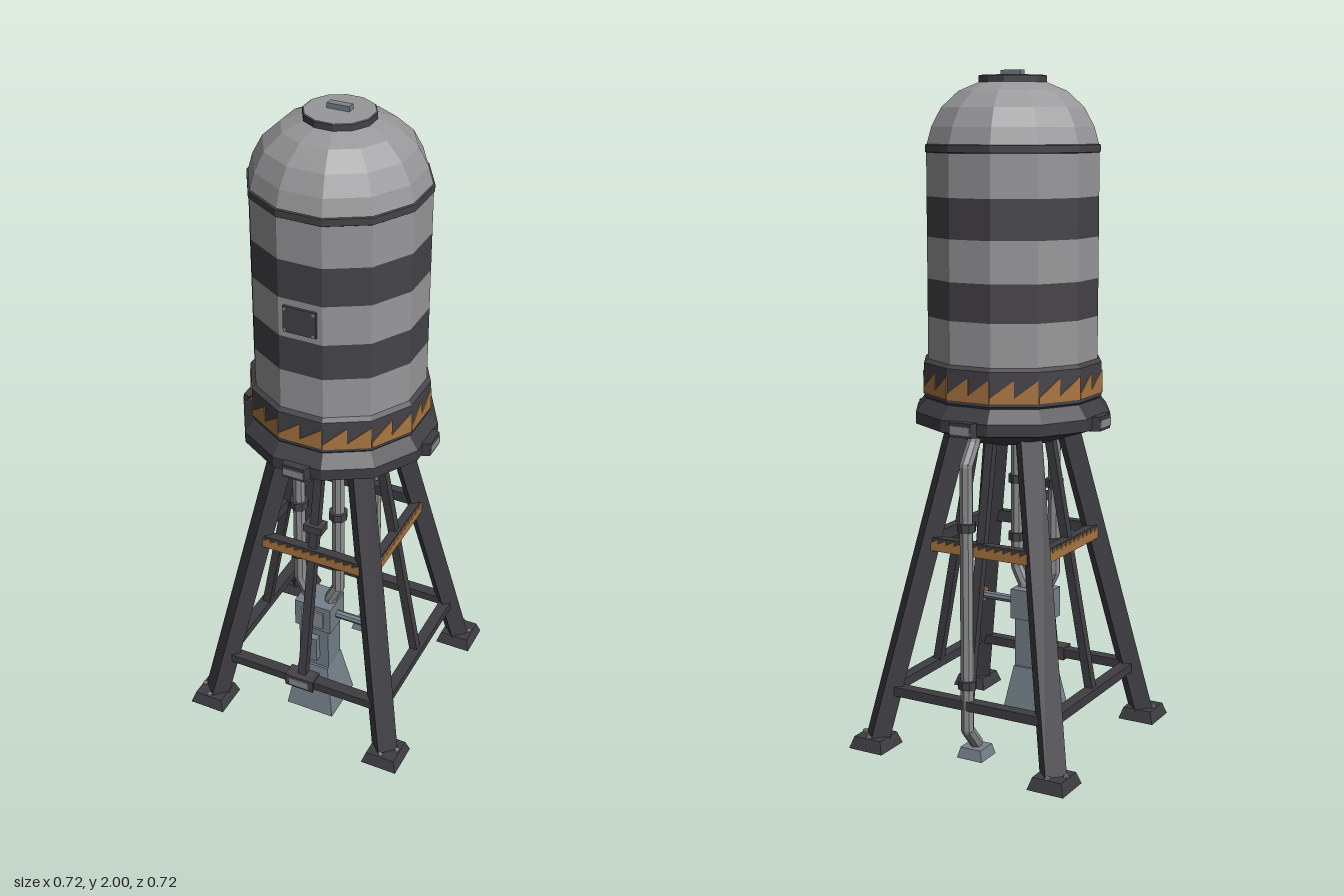
import * as THREE from 'three';

const colour = (name, hex) => {
  const m = new THREE.MeshStandardMaterial({ color: hex });
  m.name = name;
  return m;
};

export function createModel() {
  const root = new THREE.Group();
  root.name = 'waterTower';
  const tankGrey = colour('tank grey', 0x98989a);
  const bandDark = colour('band dark', 0x454348);
  const frameDark = colour('frame dark', 0x3e3d42);
  const steel = colour('blue steel', 0x75818a);
  const pipeGrey = colour('pipe grey', 0x8c8d8f);
  const rust = colour('rust orange', 0xaa7641);

  const add = (name, geo, mat, x = 0, y = 0, z = 0, parent = root) => {
    const flat = geo.index ? geo.toNonIndexed() : geo;
    flat.computeVertexNormals();
    const mesh = new THREE.Mesh(flat, mat);
    mesh.name = name;
    mesh.position.set(x, y, z);
    parent.add(mesh);
    return mesh;
  };
  const box = (name, w, h, d, mat, x, y, z, parent) =>
    add(name, new THREE.BoxGeometry(w, h, d), mat, x, y, z, parent);

  // Twelve-sided shell with flats facing the axes; radii are measured to the flats
  const shell = (name, profile, mat) => add(name, new THREE.LatheGeometry(
    profile.map(([r, y]) => new THREE.Vector2(r / Math.cos(Math.PI / 12), y)), 12, Math.PI / 12), mat);

  // Square frustum, half widths at bottom and top
  const frustum = (name, bottom, top, h, mat, x, y, z) => {
    const g = new THREE.CylinderGeometry(top * Math.SQRT2, bottom * Math.SQRT2, h, 4);
    return add(name, g.rotateY(Math.PI / 4), mat, x, y + h / 2, z);
  };

  // Places a y-aligned mesh between two points
  const span = (mesh, a, b) => {
    const y = b.clone().sub(a).normalize();
    const x = new THREE.Vector3(0, 1, 0).cross(y);
    if (x.length() < 1e-4) x.set(1, 0, 0);
    x.normalize();
    const z = x.clone().cross(y);
    mesh.quaternion.setFromRotationMatrix(new THREE.Matrix4().makeBasis(x, y, z));
    mesh.position.copy(a).add(b).multiplyScalar(0.5);
    return mesh;
  };
  const V = (x, y, z) => new THREE.Vector3(x, y, z);
  const beam = (name, a, b, w, d, mat) =>
    span(add(name, new THREE.BoxGeometry(w, a.distanceTo(b), d), mat), a, b);
  const rod = (name, a, b, r, mat) =>
    span(add(name, new THREE.CylinderGeometry(r, r, a.distanceTo(b), 8), mat), a, b);
  const pipe = (name, points, r, mat) => {
    for (let i = 1; i < points.length; i++) {
      rod(name, points[i - 1], points[i], r, mat);
      if (i < points.length - 1) add(name + 'Joint', new THREE.SphereGeometry(r, 8, 6), mat, ...points[i].toArray());
    }
  };
  const collar = (name, r, x, y, z) =>
    add(name, new THREE.CylinderGeometry(r, r, 0.025, 8), bandDark, x, y, z);

  // Saw-toothed strip facing +z
  const sawStrip = (width, teeth, low, valley, peak) => {
    const s = new THREE.Shape();
    s.moveTo(-width / 2, low);
    s.lineTo(width / 2, low);
    for (let i = teeth; i > 0; i--) {
      s.lineTo(-width / 2 + width * i / teeth, peak);
      s.lineTo(-width / 2 + width * (i - 1) / teeth, valley);
    }
    return new THREE.ExtrudeGeometry(s, { depth: 0.004, bevelEnabled: false });
  };

  // Tank wall, split into plain and dark bands
  [[1.15, 1.3], [1.3, 1.41], [1.41, 1.53], [1.53, 1.645], [1.645, 1.79]].forEach(([a, b], i) =>
    shell(i % 2 ? 'tankStripe' : 'tankWall', [[0.247, a], [0.247, b]], i % 2 ? bandDark : tankGrey));
  shell('shoulderBand', [[0.247, 1.768], [0.25, 1.77], [0.25, 1.79], [0.245, 1.792]], bandDark);
  shell('dome', [[0.247, 1.785], [0.232, 1.84], [0.204, 1.894], [0.155, 1.94], [0.09, 1.968]], tankGrey);

  // Cap with handle
  shell('capRim', [[0.092, 1.957], [0.098, 1.962], [0.098, 1.982], [0.093, 1.985]], bandDark);
  shell('capLid', [[0.094, 1.985], [0.0001, 1.986]], tankGrey);
  box('capHandle', 0.066, 0.016, 0.024, steel, 0, 1.992, 0);

  // Toothed skirt and conical tray beneath the tank
  shell('skirt', [[0.25, 1.055], [0.259, 1.065], [0.259, 1.165], [0.247, 1.175]], bandDark);
  for (let i = 0; i < 12; i++) {
    const a = i * Math.PI / 6;
    add('skirtTeeth', sawStrip(0.138, 2, 1.075, 1.092, 1.143), rust,
      0.258 * Math.sin(a), 0, 0.258 * Math.cos(a)).rotation.y = a;
  }
  shell('tray', [[0.0001, 0.93], [0.13, 0.93], [0.284, 0.985], [0.284, 1.02], [0.252, 1.06], [0.2, 1.065]], frameDark);

  // Front plate with corner bolts
  box('frontPlate', 0.1, 0.08, 0.008, bandDark, 0, 1.47, 0.25);
  for (const x of [-0.043, 0.043]) for (const y of [1.437, 1.503])
    box('plateBolt', 0.009, 0.009, 0.006, pipeGrey, x, y, 0.253);

  // Parts repeated on the four sides
  for (let i = 0; i < 4; i++) {
    const side = new THREE.Group();
    side.name = 'frameSide';
    side.rotation.y = i * Math.PI / 2;
    root.add(side);
    const tab = new THREE.Shape([[-0.046, 0.275], [0.046, 0.275], [0.034, 0.306], [-0.034, 0.306]]
      .map(p => new THREE.Vector2(p[0], -p[1])).reverse());
    const tabGeo = new THREE.ExtrudeGeometry(tab, { depth: 0.042, bevelEnabled: false }).rotateX(-Math.PI / 2);
    add('trayTab', tabGeo, frameDark, 0, 0.98, 0, side);
    box('tabPlate', 0.066, 0.024, 0.004, pipeGrey, 0, 1.0, 0.307, side);
    box('lowerBeam', 0.54, 0.028, 0.036, frameDark, 0, 0.177, 0.272, side);
    box('brace', 0.33, 0.036, 0.028, frameDark, 0, 0.627, 0.19, side);
    add('braceTeeth', sawStrip(0.33, 12, 0.605, 0.628, 0.642), rust, 0, 0, 0.204, side);
    const post = beam('midPost', V(0, 0.18, 0.268), V(0, 0.95, 0.125), 0.026, 0.026, frameDark);
    side.add(post);
  }

  // Splayed legs on tapered pads
  for (const sx of [-1, 1]) for (const sz of [-1, 1]) {
    beam('leg', V(0.3 * sx, 0.02, 0.3 * sz), V(0.122 * sx, 0.95, 0.122 * sz), 0.064, 0.056, frameDark);
    frustum('footPad', 0.058, 0.046, 0.036, frameDark, 0.304 * sx, 0, 0.304 * sz);
    box('padBolt', 0.012, 0.01, 0.012, pipeGrey, 0.303 * sx, 0.038, 0.342 * sz);
    box('padBolt', 0.012, 0.01, 0.012, pipeGrey, 0.342 * sx, 0.038, 0.303 * sz);
  }

  // Clamps on the front post
  box('beamClamp', 0.096, 0.042, 0.05, bandDark, 0, 0.177, 0.274);
  box('clampPlate', 0.07, 0.026, 0.006, pipeGrey, 0, 0.177, 0.3);
  box('postClamp', 0.06, 0.026, 0.045, bandDark, 0, 0.713, 0.17);

  // Pump stand
  const pz = 0.147;
  frustum('pumpBase', 0.08, 0.05, 0.17, steel, 0, 0, pz);
  box('pumpColumn', 0.1, 0.18, 0.085, steel, 0, 0.25, pz);
  box('pumpHead', 0.122, 0.095, 0.1, steel, 0, 0.372, pz);
  box('pumpFace', 0.076, 0.06, 0.008, pipeGrey, 0, 0.37, pz + 0.052);
  box('pumpSpout', 0.04, 0.09, 0.03, steel, 0, 0.25, pz + 0.05);
  rod('valveArm', V(0.05, 0.37, pz), V(0.19, 0.37, pz), 0.013, steel);
  box('valveKnob', 0.022, 0.038, 0.038, rust, 0.192, 0.37, pz);

  // Twin feed pipes
  for (const s of [-1, 1]) {
    pipe('feedPipe', [V(0.065 * s, 0.97, pz), V(0.065 * s, 0.48, pz), V(0.04 * s, 0.43, pz), V(0.04 * s, 0.39, pz)], 0.02, pipeGrey);
    collar('feedCollar', 0.029, 0.065 * s, 0.765, pz);
    collar('feedCollar', 0.029, 0.065 * s, 0.58, pz);
  }

  // Rear drain pipe with outlet
  pipe('drainPipe', [V(0, 0.99, -0.215), V(0, 0.95, -0.23), V(0, 0.89, -0.272), V(0, 0.1, -0.272), V(0, 0.04, -0.22)], 0.02, pipeGrey);
  collar('drainCollar', 0.028, 0, 0.713, -0.272);
  collar('drainCollar', 0.028, 0, 0.24, -0.272);
  frustum('drainFoot', 0.042, 0.034, 0.032, steel, 0, 0, -0.222);

  return root;
}
